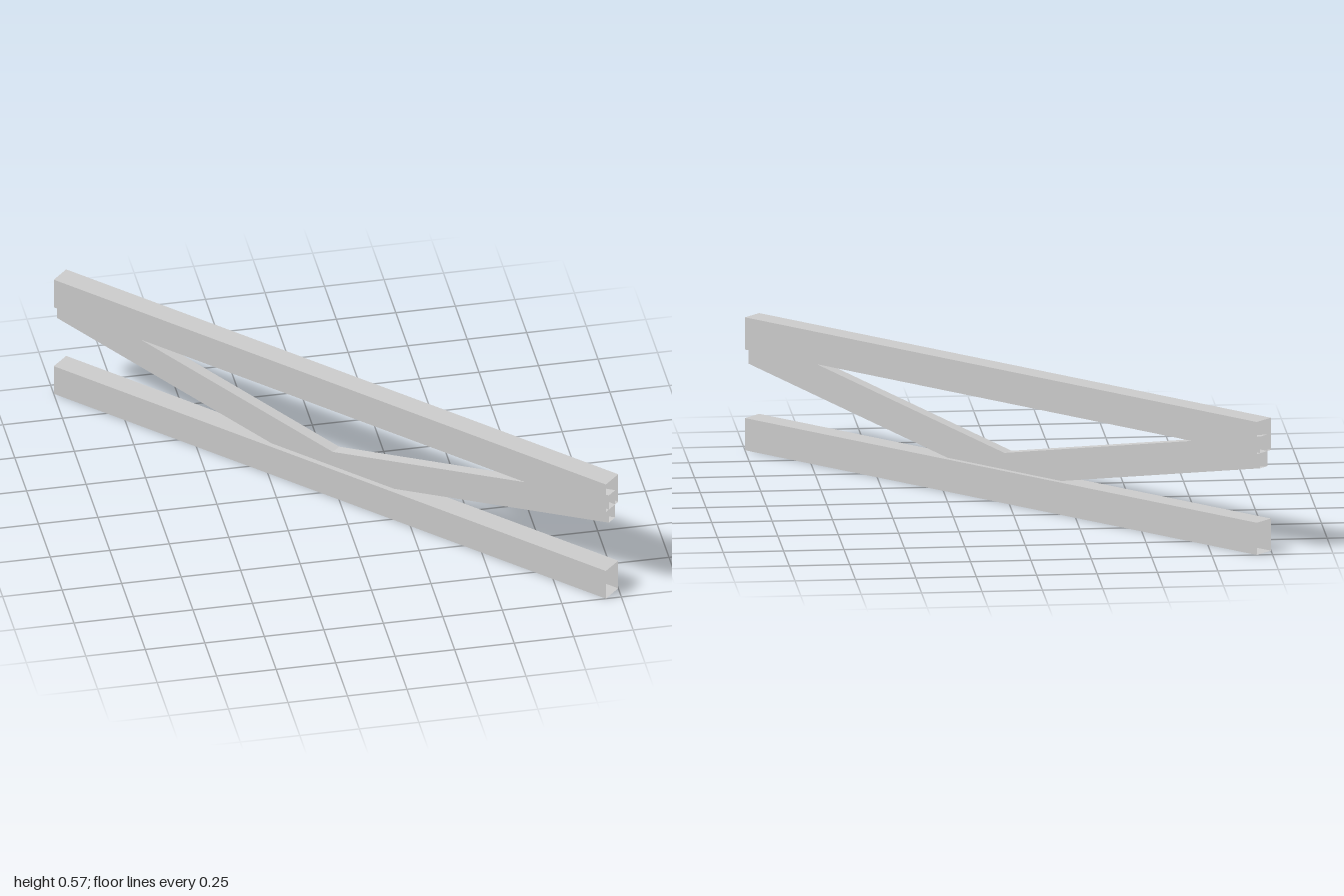
import * as THREE from 'three';

const HALF_LENGTH = 1.368;

// Open-ended rectangular tube swept along [x, centreY] stations
function tube(stations, height, width) {
  const h = height / 2, w = width / 2;
  const corners = [[-h, -w], [h, -w], [h, w], [-h, w]];
  const pos = [];
  const at = (s, k) => {
    const [dy, z] = corners[k % 4];
    return [stations[s][0], stations[s][1] + dy, z];
  };
  for (let s = 0; s < stations.length - 1; s++) {
    for (let k = 0; k < 4; k++) {
      const a = at(s, k), b = at(s, k + 1), c = at(s + 1, k + 1), d = at(s + 1, k);
      pos.push(...a, ...b, ...c, ...a, ...c, ...d);
    }
  }
  const geo = new THREE.BufferGeometry();
  geo.setAttribute('position', new THREE.Float32BufferAttribute(pos, 3));
  geo.computeVertexNormals();
  return geo;
}

export function createModel() {
  const model = new THREE.Group();
  model.name = 'beamTruss';
  const grey = new THREE.MeshStandardMaterial({ color: 0xcccccc, side: THREE.DoubleSide, flatShading: true });
  grey.name = 'light grey';

  // The truss is laid out along x, then turned onto the diagonal
  const truss = new THREE.Group();
  truss.name = 'truss';
  truss.rotation.y = -Math.PI / 4;
  model.add(truss);

  const add = (name, geo) => {
    const mesh = new THREE.Mesh(geo, grey);
    mesh.name = name;
    truss.add(mesh);
  };

  // Horizontal chords, hollow with open ends
  for (const [name, y] of [['bottomChord', 0.069], ['topChord', 0.4975]]) {
    add(name, tube([[-HALF_LENGTH, y], [HALF_LENGTH, y]], 0.137, 0.092));
  }

  // V-shaped brace, half as wide, running into both chords
  add('diagonalBrace', tube([[-HALF_LENGTH, 0.432], [0, 0.14], [HALF_LENGTH, 0.432]], 0.135, 0.047));

  return model;
}
